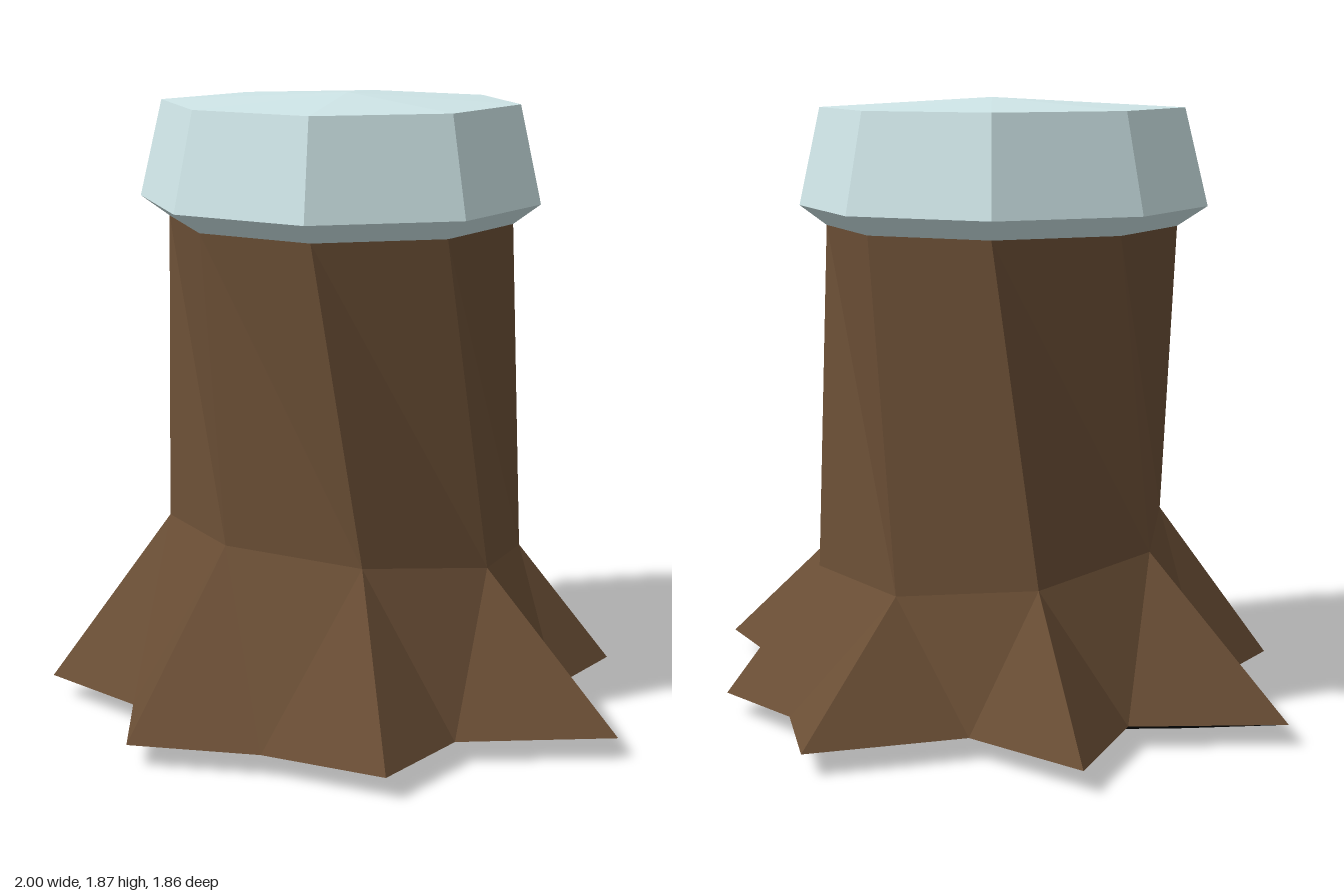
import * as THREE from 'three';

const bark = new THREE.MeshStandardMaterial({ color: 0x6a4e35, flatShading: true });
bark.name = 'bark brown';
const snow = new THREE.MeshStandardMaterial({ color: 0xcfe6e8, flatShading: true });
snow.name = 'snow pale blue';
const soil = new THREE.MeshStandardMaterial({ color: 0x060606, flatShading: true });
soil.name = 'underside black';

// Root outline as [x, z]: tip, valley, tip, valley... from the front towards +x
const rootOutline = [
  [0.012, 0.93], [0.345, 0.72], [0.712, 0.6], [0.678, 0.27],
  [1, -0.075], [0.602, -0.295], [0.557, -0.62], [0.25, -0.693],
  [0.01, -0.932], [-0.297, -0.553], [-0.713, -0.603], [-0.622, -0.21],
  [-1, 0.068], [-0.608, 0.287], [-0.597, 0.703], [-0.22, 0.703],
];

// Slightly uneven eight-sided cap outline, in the same order
const capOutline = [
  [-0.132, 0.585], [0.312, 0.505], [0.57, 0.12], [0.485, -0.325],
  [0.11, -0.577], [-0.335, -0.495], [-0.597, -0.113], [-0.558, 0.337],
];

const ring = (outline, scale, y) => outline.map(([x, z]) => [x * scale, y, z * scale]);

// Tilted ring where the trunk meets the roots
const waist = Array.from({ length: 8 }, (_, k) => {
  const a = THREE.MathUtils.degToRad(3.2 + 45 * k);
  const x = 0.546 * Math.sin(a), z = 0.546 * Math.cos(a) + 0.005;
  return [x, 0.51 + 0.13 * z - 0.025 * x, z];
});

// Side wall between two rings of equal count
function wall(low, high) {
  return low.flatMap((p, i) => {
    const j = (i + 1) % low.length;
    return [p, low[j], high[i], low[j], high[j], high[i]];
  });
}

// Fan from a ring to one point, facing up or down
function fan(points, apex, down = false) {
  return points.flatMap((p, i) => {
    const q = points[(i + 1) % points.length];
    return down ? [q, p, apex] : [p, q, apex];
  });
}

function part(name, tris, material) {
  const geometry = new THREE.BufferGeometry();
  geometry.setAttribute('position', new THREE.Float32BufferAttribute(tris.flat(), 3));
  geometry.computeVertexNormals();
  const mesh = new THREE.Mesh(geometry, material);
  mesh.name = name;
  return mesh;
}

export function createModel() {
  const group = new THREE.Group();
  group.name = 'snowyTreeStump';

  const base = ring(rootOutline, 0.667, 0);
  const roots = ring(rootOutline, 1, 0.067);
  const rim = ring(capOutline, 0.86, 1.48);
  const brim = ring(capOutline, 1, 1.54);
  const crown = ring(capOutline, 0.89, 1.835);

  // Flared roots: each tip and its neighbouring valleys rise to the waist
  const flare = [];
  for (let k = 0; k < 8; k++) {
    const tip = roots[2 * k], valley = roots[2 * k + 1], next = roots[(2 * k + 2) % 16];
    const a = waist[k], b = waist[(k + 1) % 8];
    flare.push(tip, valley, a, valley, b, a, valley, next, b);
  }
  group.add(part('roots', flare, bark));

  // Twisted trunk
  group.add(part('trunk', wall(waist, rim), bark));

  // Snow cap with overhanging brim and low peak
  group.add(part('snowCap', [
    ...wall(rim, brim),
    ...wall(brim, crown),
    ...fan(crown, [0, 1.865, 0]),
  ], snow));

  // Bevelled underside, hollowed to a point
  group.add(part('underside', [...wall(base, roots), ...fan(base, [0, 0.35, 0], true)], soil));

  return group;
}
